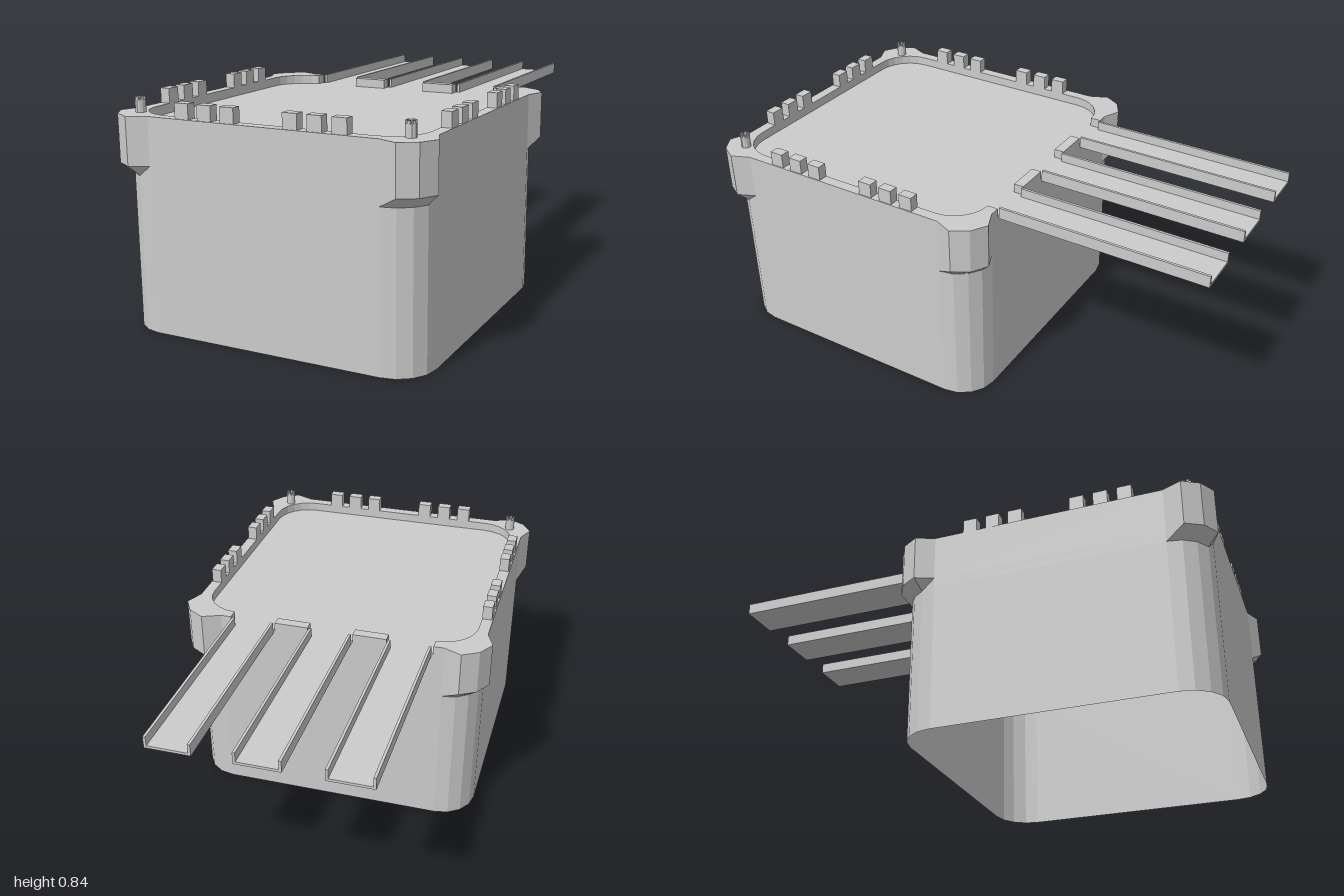
import * as THREE from 'three';

const TOP = 0.785, FLOOR = 0.75, GATE = 0.4, HALF = 0.58, SHIFT = 0.39;

const mat = new THREE.MeshStandardMaterial({ color: 0xcccccc, flatShading: true });
const shellMat = new THREE.MeshStandardMaterial({ color: 0xcccccc, flatShading: true, side: THREE.DoubleSide });

// Points of a quarter-circle corner, from the side to the front
function arc(center, r, segments) {
  return Array.from({ length: segments + 1 }, (_, i) => {
    const a = (i / segments) * Math.PI / 2;
    return [center + r * Math.cos(a), center + r * Math.sin(a)];
  });
}

// Square outline [x, z] from the right end of the back gate round to its left end
function outline(corner, backZ) {
  const pts = [[GATE, backZ]];
  for (const k of [3, 0, 1, 2]) {
    for (const [x, z] of corner) {
      pts.push([[x, z], [-z, x], [-x, -z], [z, -x]][k]);
    }
  }
  pts.push([-GATE, backZ]);
  return pts;
}

// Wall strip between two outlines
function strip(lower, y0, upper, y1) {
  const pos = [];
  for (let i = 0; i < lower.length - 1; i++) {
    const a = [lower[i][0], y0, lower[i][1]], b = [lower[i + 1][0], y0, lower[i + 1][1]];
    const c = [upper[i + 1][0], y1, upper[i + 1][1]], d = [upper[i][0], y1, upper[i][1]];
    pos.push(...a, ...d, ...b, ...b, ...d, ...c);
  }
  const g = new THREE.BufferGeometry();
  g.setAttribute('position', new THREE.Float32BufferAttribute(pos, 3));
  g.computeVertexNormals();
  return g;
}

// Horizontal sheet facing up
function sheet(pts, y) {
  const shape = new THREE.Shape(pts.map(([x, z]) => new THREE.Vector2(x, -z)));
  return new THREE.ShapeGeometry(shape).rotateX(-Math.PI / 2).translate(0, y, 0);
}

export function createModel() {
  const model = new THREE.Group();
  model.name = 'fortress';
  const castle = new THREE.Group();
  castle.name = 'castle';
  castle.position.z = SHIFT;
  model.add(castle);

  const add = (name, geometry, material = mat, parent = castle) => {
    const mesh = new THREE.Mesh(geometry, material);
    mesh.name = name;
    parent.add(mesh);
    return mesh;
  };
  const box = (name, x0, x1, y0, y1, z0, z1, parent) =>
    add(name, new THREE.BoxGeometry(x1 - x0, y1 - y0, z1 - z0)
      .translate((x0 + x1) / 2, (y0 + y1) / 2, (z0 + z1) / 2), mat, parent);

  const body = outline(arc(0.44, 0.14, 4), -HALF);
  const towers = outline([[0.58, 0.44], [0.61, 0.51], [0.573, 0.573], [0.51, 0.61], [0.44, 0.58]], -HALF);
  const inner = outline(arc(0.4, 0.138, 6), -0.538);
  inner.unshift([GATE, -HALF]);
  inner.push([-GATE, -HALF]);

  // Hollow outer walls, flaring into corner towers
  add('lowerWall', strip(body, 0, body, 0.57), shellMat);
  add('towerFlare', strip(body, 0.57, towers, 0.61), shellMat);
  add('upperWall', strip(towers, 0.61, towers, TOP), shellMat);
  const back = [[-GATE, -HALF], [GATE, -HALF]];
  add('gateWall', strip(back, 0, back, FLOOR), shellMat);

  // Rim walkway, its inner face and the sunken courtyard
  add('rim', sheet([...towers, ...inner.slice().reverse()], TOP), shellMat);
  const innerLoop = inner.slice().reverse();
  add('innerWall', strip(innerLoop, FLOOR, innerLoop, TOP), shellMat);
  add('courtyard', sheet(inner, FLOOR), shellMat);

  // Battlements in groups of three on the front and both sides
  for (const side of [-1, 1]) {
    for (const offset of [0.12, 0.21, 0.3]) {
      const c = side * offset, h = 0.027;
      box('frontMerlon', c - h, c + h, TOP, 0.84, 0.538, 0.576);
      box('leftMerlon', 0.538, 0.576, TOP, 0.84, c - h, c + h);
      box('rightMerlon', -0.576, -0.538, TOP, 0.84, c - h, c + h);
    }
    // Parapet blocks between the gates
    box('gateBlock', side * 0.155 - 0.066, side * 0.155 + 0.066, FLOOR, TOP, -0.58, -0.54);

    // Small turret with a crown of teeth
    const turret = new THREE.Group();
    turret.name = 'turret';
    turret.position.set(side * 0.518, TOP, 0.515);
    castle.add(turret);
    add('turretPost', new THREE.CylinderGeometry(0.019, 0.019, 0.045, 12).translate(0, 0.0225, 0), mat, turret);
    for (let i = 0; i < 6; i++) {
      const tooth = box('turretTooth', -0.005, 0.005, 0.044, 0.055, 0.011, 0.019, turret);
      tooth.rotation.y = i * Math.PI / 3;
    }
  }

  // Three channel-shaped ramps leading out of the back
  for (const x of [-0.31, 0, 0.31]) {
    const ramp = new THREE.Group();
    ramp.name = 'ramp';
    ramp.position.x = x;
    model.add(ramp);
    box('rampFloor', -0.082, 0.082, 0.74, FLOOR, -1, -0.19, ramp);
    for (const s of [-1, 1]) {
      box('rampSide', s * 0.078 - 0.005, s * 0.078 + 0.005, 0.74, TOP, -1, -0.19, ramp);
    }
  }
  return model;
}
